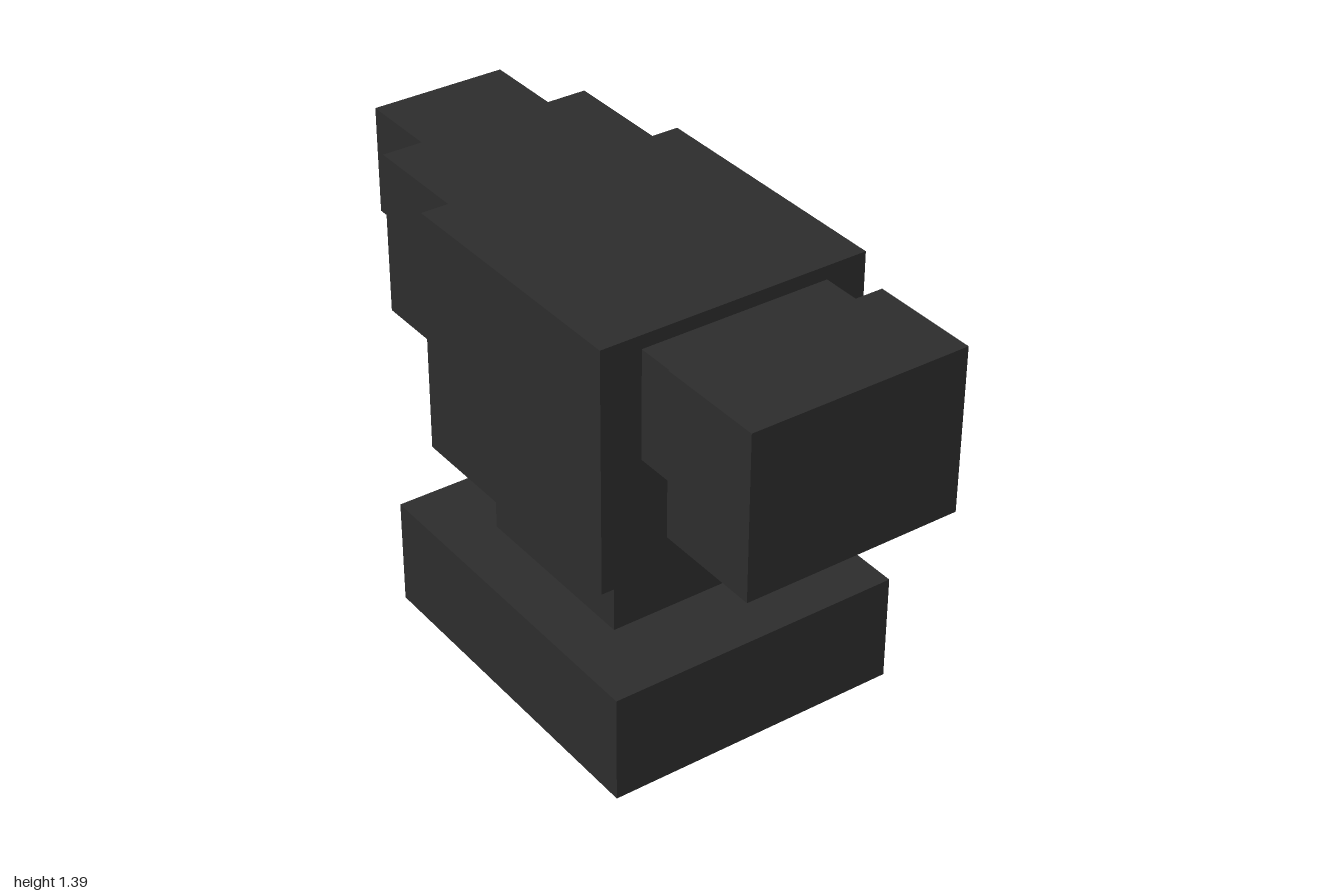
import * as THREE from 'three';

export function createModel() {
  const model = new THREE.Group();
  model.name = 'anvil';
  const iron = new THREE.MeshStandardMaterial({ color: 0x2d2d2d });
  iron.name = 'dark iron';

  // Block spanning x0..x1 and y0..y1, centred on z with the given half depth
  function block(name, x0, x1, y0, y1, halfDepth) {
    const mesh = new THREE.Mesh(new THREE.BoxGeometry(x1 - x0, y1 - y0, halfDepth * 2), iron);
    mesh.name = name;
    mesh.position.set((x0 + x1) / 2, (y0 + y1) / 2, 0);
    model.add(mesh);
  }

  // Foot, waist and main body, stacked
  block('base', -0.522, 0.606, 0, 0.348, 0.478);
  block('waist', -0.262, 0.344, 0.348, 0.612, 0.304);
  block('body', -0.391, 0.476, 0.612, 1.391, 0.435);

  // Stepped horn
  block('hornRoot', -0.74, -0.391, 0.872, 1.391, 0.347);
  block('hornTip', -1, -0.74, 1.046, 1.391, 0.218);

  // Heel on its narrower link
  block('heelLink', 0.476, 0.652, 1.002, 1.348, 0.304);
  block('heel', 0.652, 1, 0.872, 1.391, 0.347);

  return model;
}
